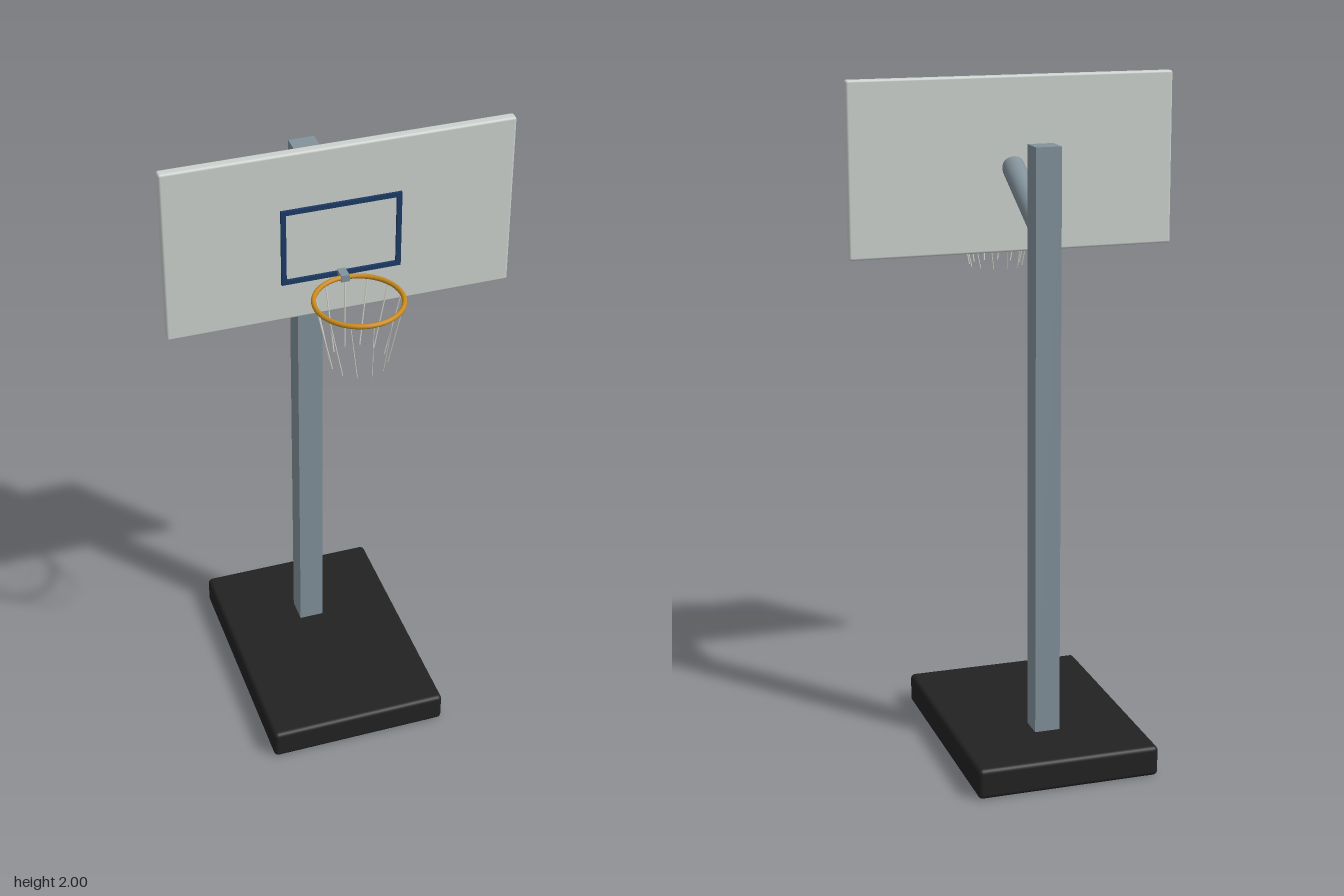
import * as THREE from 'three';
import { RoundedBoxGeometry } from 'three/addons/geometries/RoundedBoxGeometry.js';

export function createModel() {
  const group = new THREE.Group();
  const mat = (name, color) => Object.assign(new THREE.MeshStandardMaterial({ color }), { name });
  const rubber = mat('black base', 0x222222);
  const steel = mat('grey steel', 0x82919a);
  const panel = mat('pale board', 0xcdd2ce);
  const paint = mat('navy paint', 0x1c3c66);
  const orange = mat('orange rim', 0xc88a1e);
  const cord = mat('net cord', 0xd8d8d0);

  const add = (name, geometry, material, x = 0, y = 0, z = 0, parent = group) => {
    const mesh = new THREE.Mesh(geometry, material);
    mesh.name = name;
    mesh.position.set(x, y, z);
    parent.add(mesh);
    return mesh;
  };
  // Round bar between two points
  const bar = (name, a, b, r, sides, material, parent = group) => {
    const dir = b.clone().sub(a);
    const mid = a.clone().add(b).multiplyScalar(0.5);
    const mesh = add(name, new THREE.CylinderGeometry(r, r, dir.length(), sides), material, mid.x, mid.y, mid.z, parent);
    mesh.quaternion.setFromUnitVectors(new THREE.Vector3(0, 1, 0), dir.normalize());
    return mesh;
  };

  // Stand
  add('base', new RoundedBoxGeometry(0.55, 0.092, 0.77, 3, 0.014), rubber, 0, 0.046, -0.04);
  add('pole', new THREE.BoxGeometry(0.076, 1.752, 0.076), steel, 0, 0.958, -0.178);
  bar('arm', new THREE.Vector3(0, 1.587, -0.16), new THREE.Vector3(0, 1.737, 0.118), 0.034, 32, steel);

  // Board with its painted target frame
  add('backboard', new RoundedBoxGeometry(0.992, 0.517, 0.03, 2, 0.007), panel, 0, 1.7415, 0.125);
  const target = new THREE.Group();
  target.name = 'targetFrame';
  group.add(target);
  for (const y of [1.608, 1.826]) {
    add('targetRail', new THREE.BoxGeometry(0.342, 0.014, 0.008), paint, 0, y, 0.143, target);
  }
  for (const s of [-1, 1]) {
    add('targetSide', new THREE.BoxGeometry(0.014, 0.204, 0.008), paint, s * 0.164, 1.717, 0.143, target);
  }

  // Hoop
  const rimY = 1.61, rimZ = 0.293, rimR = 0.122;
  add('rimBracket', new THREE.BoxGeometry(0.024, 0.02, 0.04), steel, 0, rimY, 0.16);
  add('rim', new THREE.TorusGeometry(rimR, 0.007, 12, 48), orange, 0, rimY, rimZ).rotation.x = Math.PI / 2;

  // Net of slanted cords, tapering and twisting slightly toward the bottom
  const net = new THREE.Group();
  net.name = 'net';
  group.add(net);
  const ringPoint = (angle, r, y) =>
    new THREE.Vector3(Math.sin(angle) * r, y, rimZ + Math.cos(angle) * r);
  for (let i = 0; i < 12; i++) {
    const a = (i / 12) * Math.PI * 2;
    bar('netCord', ringPoint(a, rimR - 0.002, rimY), ringPoint(a + 0.15, 0.08, 1.412), 0.002, 6, cord, net);
  }
  return group;
}
